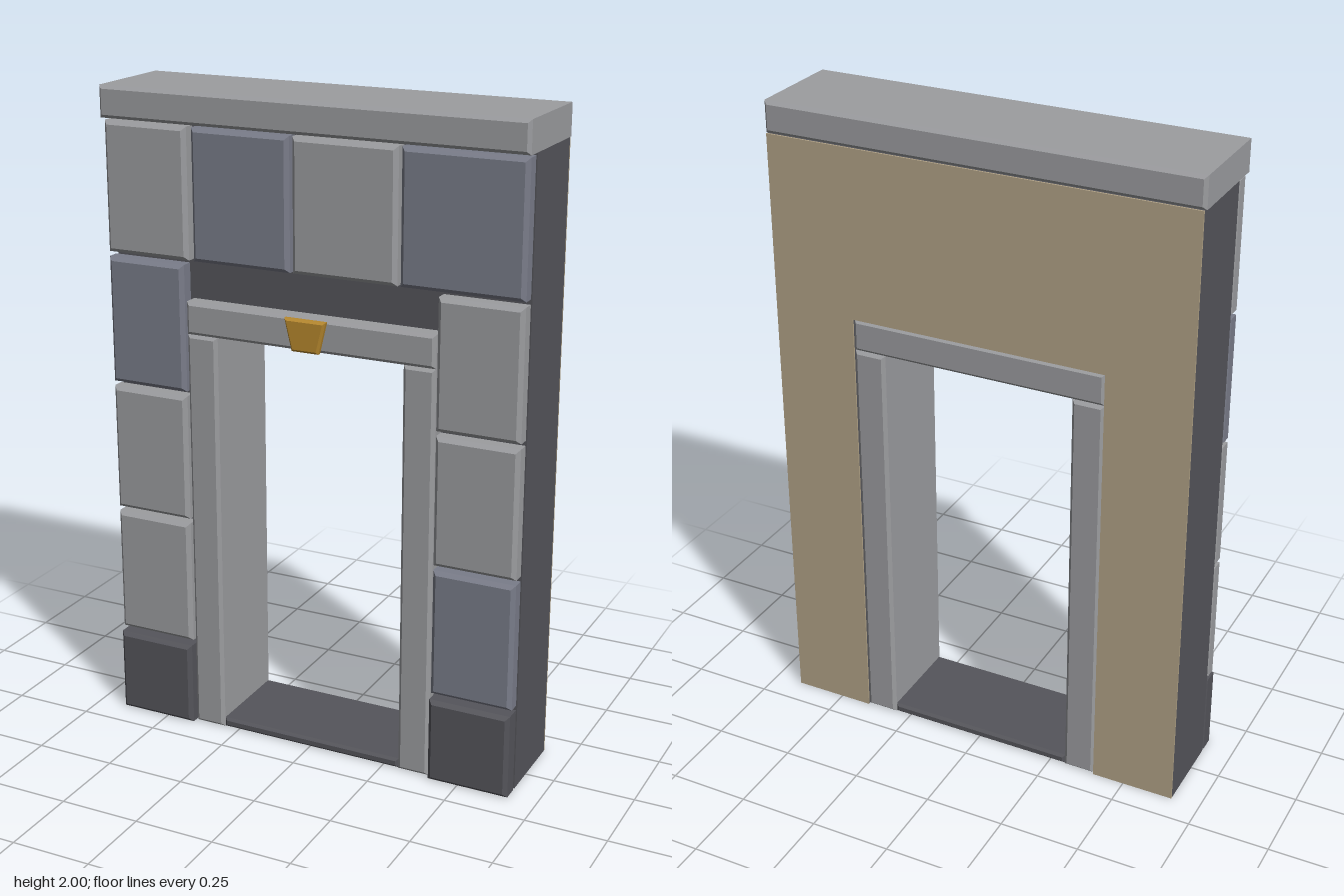
import * as THREE from 'three';

const material = (name, color) => {
  const m = new THREE.MeshStandardMaterial({ color });
  m.name = name;
  return m;
};

export function createModel() {
  const lightStone = material('light stone', 0x9c9da0);
  const blueStone = material('blue stone', 0x7a7d8a);
  const darkStone = material('dark stone', 0x55555b);
  const plaster = material('tan plaster', 0xb3a488);
  const gold = material('gold', 0xb8892e);
  const model = new THREE.Group();
  model.name = 'doorway';

  // Extrudes an outline from z0 to z1, chamfering front and back edges inwards
  function slab(name, points, z0, z1, mat, bevel = 0) {
    const shape = new THREE.Shape(points.map(([x, y]) => new THREE.Vector2(x, y)));
    const geometry = new THREE.ExtrudeGeometry(shape, {
      depth: z1 - z0 - 2 * bevel,
      bevelEnabled: bevel > 0,
      bevelThickness: bevel,
      bevelSize: bevel,
      bevelOffset: -bevel,
      bevelSegments: 1,
    });
    geometry.translate(0, 0, z0 + bevel);
    const mesh = new THREE.Mesh(geometry, mat);
    mesh.name = name;
    model.add(mesh);
  }
  const block = (name, x0, x1, y0, y1, z0, z1, mat, bevel = 0.012) =>
    slab(name, [[x0, y0], [x1, y0], [x1, y1], [x0, y1]], z0, z1, mat, bevel);

  // Wall core with a door opening, and plaster on its back
  const arch = [[-0.66, 0], [-0.4, 0], [-0.4, 1.38], [0.4, 1.38],
    [0.4, 0], [0.66, 0], [0.66, 1.905], [-0.66, 1.905]];
  slab('wall', arch, -0.16, 0.095, darkStone);
  slab('backPlaster', arch, -0.165, -0.16, plaster);

  // Coping along the top
  block('coping', -0.665, 0.665, 1.905, 2, -0.165, 0.165, lightStone, 0.01);

  // Row of facing blocks above the door
  [
    [-0.66, -0.387, lightStone],
    [-0.37, -0.055, blueStone],
    [-0.045, 0.28, lightStone],
    [0.29, 0.66, blueStone],
  ].forEach(([x0, x1, mat], i) =>
    block(`upperBlock${i + 1}`, x0, x1, 1.505, 1.897, 0.094, 0.153, mat));

  // Facing blocks and plinths beside the door
  const rows = [[0.28, 0.675], [0.69, 1.085], [1.1, 1.49]];
  const sides = [
    ['right', -0.66, -0.405, [lightStone, lightStone, blueStone]],
    ['left', 0.405, 0.66, [blueStone, lightStone, lightStone]],
  ];
  for (const [side, x0, x1, mats] of sides) {
    block(`${side}Plinth`, x0, x1, 0, 0.265, 0.094, 0.165, darkStone);
    rows.forEach(([y0, y1], i) =>
      block(`${side}Block${i + 1}`, x0, x1, y0, y1, 0.094, 0.153, mats[i]));
  }

  // Door frame, lining the full depth of the wall
  block('leftJamb', 0.3, 0.4, 0, 1.28, -0.165, 0.145, lightStone, 0.01);
  block('rightJamb', -0.4, -0.3, 0, 1.28, -0.165, 0.145, lightStone, 0.01);
  block('lintel', -0.4, 0.4, 1.28, 1.38, -0.165, 0.147, lightStone, 0.01);
  block('threshold', -0.3, 0.3, 0, 0.03, -0.16, 0.14, darkStone, 0.008);

  // Keystone on the lintel
  slab('keystone', [[-0.043, 1.28], [0.043, 1.28], [0.066, 1.377], [-0.066, 1.377]],
    0.14, 0.165, gold, 0.007);

  return model;
}
